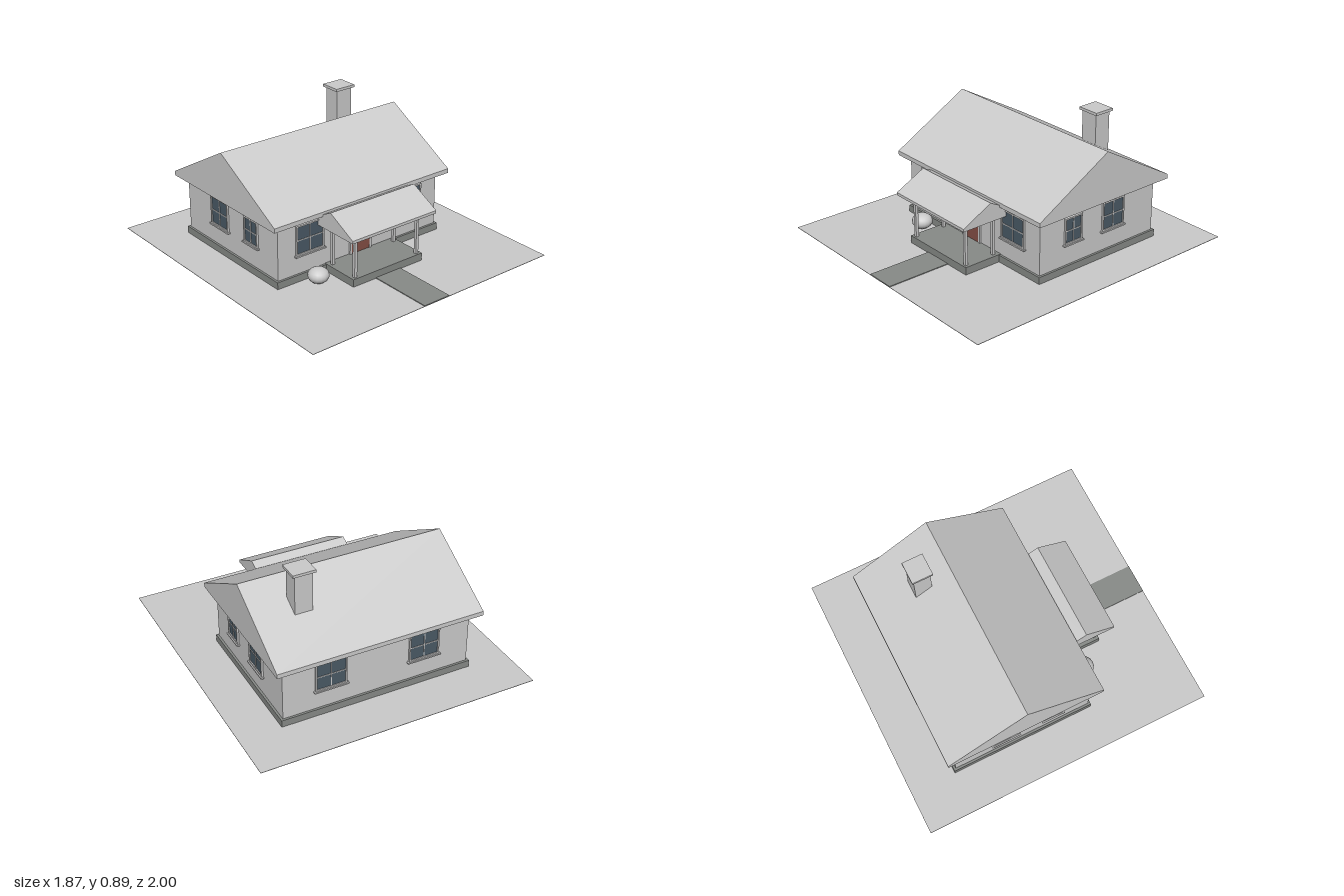
import * as THREE from 'three';

const mat = (color) => new THREE.MeshStandardMaterial({ color });
const GREY = mat(0xcccccc);
const STONE = mat(0x888b88);
const GLASS = mat(0x4a5a66);
const DOOR = mat(0x854f45);

function add(parent, name, geometry, material = GREY) {
  const mesh = new THREE.Mesh(geometry, material);
  mesh.name = name;
  parent.add(mesh);
  return mesh;
}

// Box given by its minimum and maximum on each axis
function block(parent, name, [x0, x1], [y0, y1], [z0, z1], material) {
  const geometry = new THREE.BoxGeometry(x1 - x0, y1 - y0, z1 - z0);
  geometry.translate((x0 + x1) / 2, (y0 + y1) / 2, (z0 + z1) / 2);
  return add(parent, name, geometry, material);
}

// Solid gabled roof with its ridge along x: flat soffit, short fascia, two slopes
function gableRoof(parent, name, halfLength, halfDepth, bottom, eave, ridge, z) {
  const profile = new THREE.Shape();
  profile.moveTo(-halfDepth, bottom);
  profile.lineTo(halfDepth, bottom);
  profile.lineTo(halfDepth, eave);
  profile.lineTo(0, ridge);
  profile.lineTo(-halfDepth, eave);
  profile.closePath();
  const geometry = new THREE.ExtrudeGeometry(profile, { depth: halfLength * 2, bevelEnabled: false });
  geometry.translate(0, 0, -halfLength).rotateY(Math.PI / 2);
  add(parent, name, geometry).position.z = z;
}

// Window facing +z, its back on the wall plane, centred on its frame
function makeWindow(w, h) {
  const group = new THREE.Group();
  group.name = 'window';
  const t = 0.01;
  const rect = (Type, a, b) => {
    const r = new Type();
    r.moveTo(-a, -b);
    r.lineTo(a, -b);
    r.lineTo(a, b);
    r.lineTo(-a, b);
    r.closePath();
    return r;
  };
  const outline = rect(THREE.Shape, w / 2, h / 2);
  outline.holes.push(rect(THREE.Path, w / 2 - t, h / 2 - t));
  add(group, 'windowFrame', new THREE.ExtrudeGeometry(outline, { depth: 0.013, bevelEnabled: false }));
  block(group, 'windowGlass', [-w / 2 + t, w / 2 - t], [-h / 2 + t, h / 2 - t], [-0.003, 0.006], GLASS);
  block(group, 'verticalBar', [-0.003, 0.003], [-h / 2 + t, h / 2 - t], [0, 0.01]);
  block(group, 'horizontalBar', [-w / 2 + t, w / 2 - t], [-0.003, 0.003], [0, 0.01]);
  block(group, 'windowSill', [-w / 2 - 0.01, w / 2 + 0.01], [-h / 2 - 0.009, -h / 2], [-0.003, 0.021]);
  return group;
}

export function createModel() {
  const model = new THREE.Group();
  model.name = 'house';
  const wallX = 0.64, front = 0.283, back = -0.677;

  // Plot and front path
  block(model, 'ground', [-0.935, 0.935], [0, 0.003], [-1, 1]);
  block(model, 'path', [-0.1, 0.1], [0.001, 0.008], [0.55, 1], STONE);

  // House body
  block(model, 'foundation', [-0.655, 0.655], [0.001, 0.05], [back - 0.015, front + 0.015], STONE);
  block(model, 'walls', [-wallX, wallX], [0.04, 0.42], [back, front]);
  gableRoof(model, 'mainRoof', 0.7, 0.54, 0.412, 0.442, 0.747, -0.202);

  // Chimney
  block(model, 'chimney', [0.325, 0.445], [0.45, 0.875], [-0.458, -0.344]);
  block(model, 'chimneyCap', [0.309, 0.461], [0.868, 0.886], [-0.471, -0.331]);

  // Porch
  block(model, 'porchDeck', [-0.28, 0.28], [0.001, 0.054], [0.28, 0.56], STONE);
  for (const x of [-0.25, 0.25]) {
    for (const z of [0.537, 0.322]) {
      block(model, 'porchPost', [x - 0.01, x + 0.01], [0.05, 0.345], [z - 0.01, z + 0.01]);
    }
  }
  gableRoof(model, 'porchRoof', 0.336, 0.209, 0.336, 0.355, 0.462, 0.408);

  // Front door with its casing
  block(model, 'door', [-0.073, 0.073], [0.053, 0.332], [front - 0.01, front + 0.009], DOOR);
  for (const s of [-1, 1]) {
    const x = s * 0.08;
    block(model, 'doorJamb', [x - 0.007, x + 0.007], [0.053, 0.345], [front - 0.01, front + 0.013]);
  }
  block(model, 'doorHead', [-0.087, 0.087], [0.332, 0.345], [front - 0.01, front + 0.013]);

  // Windows: x, y, z, turn, width, height
  const windows = [];
  for (const s of [-1, 1]) {
    windows.push([s * 0.4, 0.279, front, 0, 0.212, 0.2]);
    windows.push([s * 0.32, 0.281, back, Math.PI, 0.212, 0.196]);
    windows.push([s * wallX, 0.281, -0.319, s * Math.PI / 2, 0.184, 0.196]);
    windows.push([s * wallX, 0.283, 0.017, s * Math.PI / 2, 0.14, 0.176]);
  }
  for (const [x, y, z, turn, w, h] of windows) {
    const win = makeWindow(w, h);
    win.position.set(x, y, z);
    win.rotation.y = turn;
    model.add(win);
  }

  // Round bush by the porch
  const bush = add(model, 'bush', new THREE.SphereGeometry(0.068, 16, 12));
  bush.scale.y = 0.75;
  bush.position.set(-0.405, 0.054, 0.377);

  return model;
}
